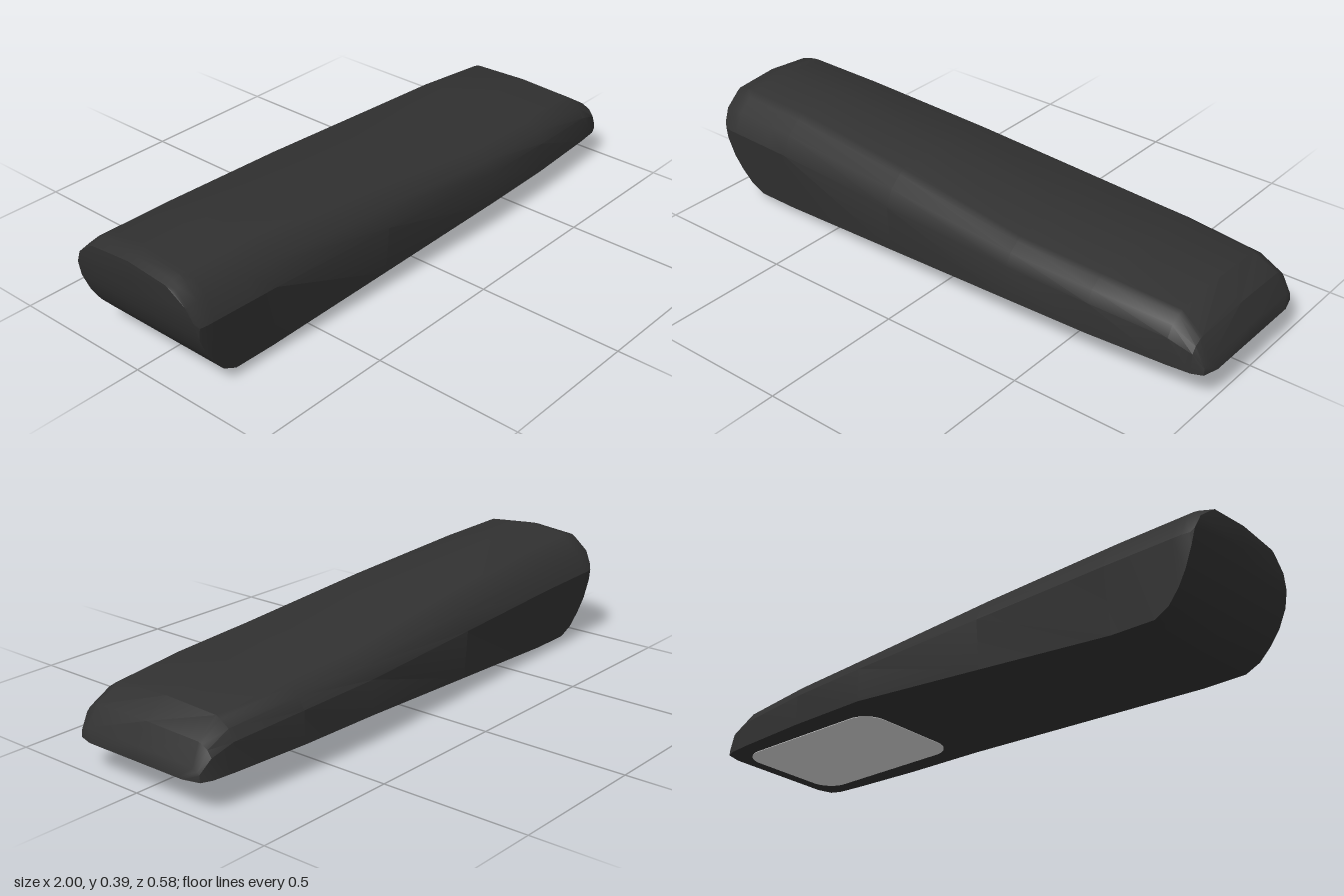
import * as THREE from 'three';
import { toCreasedNormals } from 'three/addons/utils/BufferGeometryUtils.js';

const lerp = THREE.MathUtils.lerp;

// Stations: [x, bottom y, shoulder y, top y, base half width, waist half width, top half width]
const STATIONS = [
  [-1, 0, 0.25, 0.375, 0.05, 0.228, 0.155],
  [-0.95, 0, 0.25, 0.389, 0.05, 0.236, 0.16],
  [-0.68, 0, 0.245, 0.382, 0.15, 0.241, 0.165],
  [-0.2, 0.045, 0.228, 0.346, 0.18, 0.266, 0.19],
  [0.3, 0.091, 0.21, 0.294, 0.21, 0.291, 0.218],
  [0.6, 0.095, 0.203, 0.28, 0.21, 0.286, 0.213],
  [0.87, 0.098, 0.19, 0.26, 0.21, 0.27, 0.2],
  [0.95, 0.099, 0.165, 0.206, 0.21, 0.262, 0.21],
  [0.985, 0.1, 0.122, 0.138, 0.2, 0.248, 0.22],
  [1, 0.1, 0.101, 0.104, 0.15, 0.195, 0.175],
];

// Curve of the rounded heel: [x, lowest y]
const HEEL = [[-1, 0.355], [-0.994, 0.31], [-0.987, 0.265], [-0.975, 0.21], [-0.95, 0.148],
  [-0.92, 0.1], [-0.88, 0.055], [-0.83, 0.02], [-0.77, 0.002]];

function stationAt(x) {
  const i = Math.max(1, STATIONS.findIndex((s) => s[0] >= x));
  const a = STATIONS[i - 1];
  const b = STATIONS[i];
  const t = (x - a[0]) / (b[0] - a[0]);
  return a.map((v, k) => lerp(v, b[k], t));
}

// Half outline [z, y] from the bottom centre round the +z side to the top centre
function outline([, bottom, shoulder, top, base, waist, crown]) {
  const rim = top - 0.11 * (top - shoulder);
  const side = waist + 0.27 * (0.1 - bottom) - 0.003;
  return [
    [0, bottom],
    [base, bottom],
    [waist, lerp(bottom, 0.1, 0.3)],
    [side, shoulder],
    [lerp(side, crown, 0.3), lerp(shoulder, rim, 0.55)],
    [lerp(side, crown, 0.75), lerp(shoulder, rim, 0.88)],
    [crown, rim],
    [0, top],
  ];
}

// Slide points below the heel curve up along the outline
function clipBelow(points, y) {
  const k = points.findIndex((p, n) => n > 0 && p[1] > y);
  const [z0, y0] = points[k - 1];
  const [z1, y1] = points[k];
  const z = lerp(z0, z1, (y - y0) / (y1 - y0));
  return points.map((p, n) => (n === 0 ? [0, y] : n < k ? [z, y] : p));
}

function bodyGeometry() {
  const rings = [
    ...HEEL.map(([x, y]) => [x, clipBelow(outline(stationAt(x)), y)]),
    ...STATIONS.slice(2).map((s) => [s[0], outline(s)]),
  ];
  const pos = [];
  const index = [];
  for (const [x, half] of rings) {
    const mirrored = half.slice(1, -1).reverse().map(([z, y]) => [-z, y]);
    for (const [z, y] of [...half, ...mirrored]) pos.push(x, y, z);
  }
  const n = 14;
  for (let i = 0; i < rings.length - 1; i++) {
    for (let j = 0; j < n; j++) {
      const a = i * n + j;
      const b = i * n + (j + 1) % n;
      index.push(a, a + n, b, b, a + n, b + n);
    }
  }
  // End caps
  const last = (rings.length - 1) * n;
  for (let j = 1; j < n - 1; j++) {
    index.push(0, j, j + 1, last, last + j + 1, last + j);
  }
  const geo = new THREE.BufferGeometry();
  geo.setAttribute('position', new THREE.Float32BufferAttribute(pos, 3));
  geo.setIndex(index);
  return toCreasedNormals(geo, 0.5);
}

// Rounded rectangle lying flat
function plateGeometry(length, width, r, depth) {
  const a = length / 2 - r;
  const b = width / 2 - r;
  const shape = new THREE.Shape();
  [[a, b], [-a, b], [-a, -b], [a, -b]].forEach(([x, y], i) => {
    shape.absarc(x, y, r, i * Math.PI / 2, (i + 1) * Math.PI / 2);
  });
  shape.closePath();
  const geo = new THREE.ExtrudeGeometry(shape, { depth, bevelEnabled: false, curveSegments: 8 });
  return geo.rotateX(Math.PI / 2);
}

export function createModel() {
  const group = new THREE.Group();
  group.name = 'handheldDevice';
  const shell = new THREE.MeshStandardMaterial({ color: 0x313131 });
  shell.name = 'charcoal';
  const glass = new THREE.MeshStandardMaterial({ color: 0xdcdcdc });
  glass.name = 'paleGrey';

  const body = new THREE.Mesh(bodyGeometry(), shell);
  body.name = 'body';

  // Pale window under the nose
  const plate = new THREE.Mesh(plateGeometry(0.62, 0.42, 0.08, 0.006), glass);
  plate.name = 'undersideWindow';
  plate.position.set(0.645, 0.0995, 0);
  plate.rotation.z = 0.012;

  group.add(body, plate);
  return group;
}
